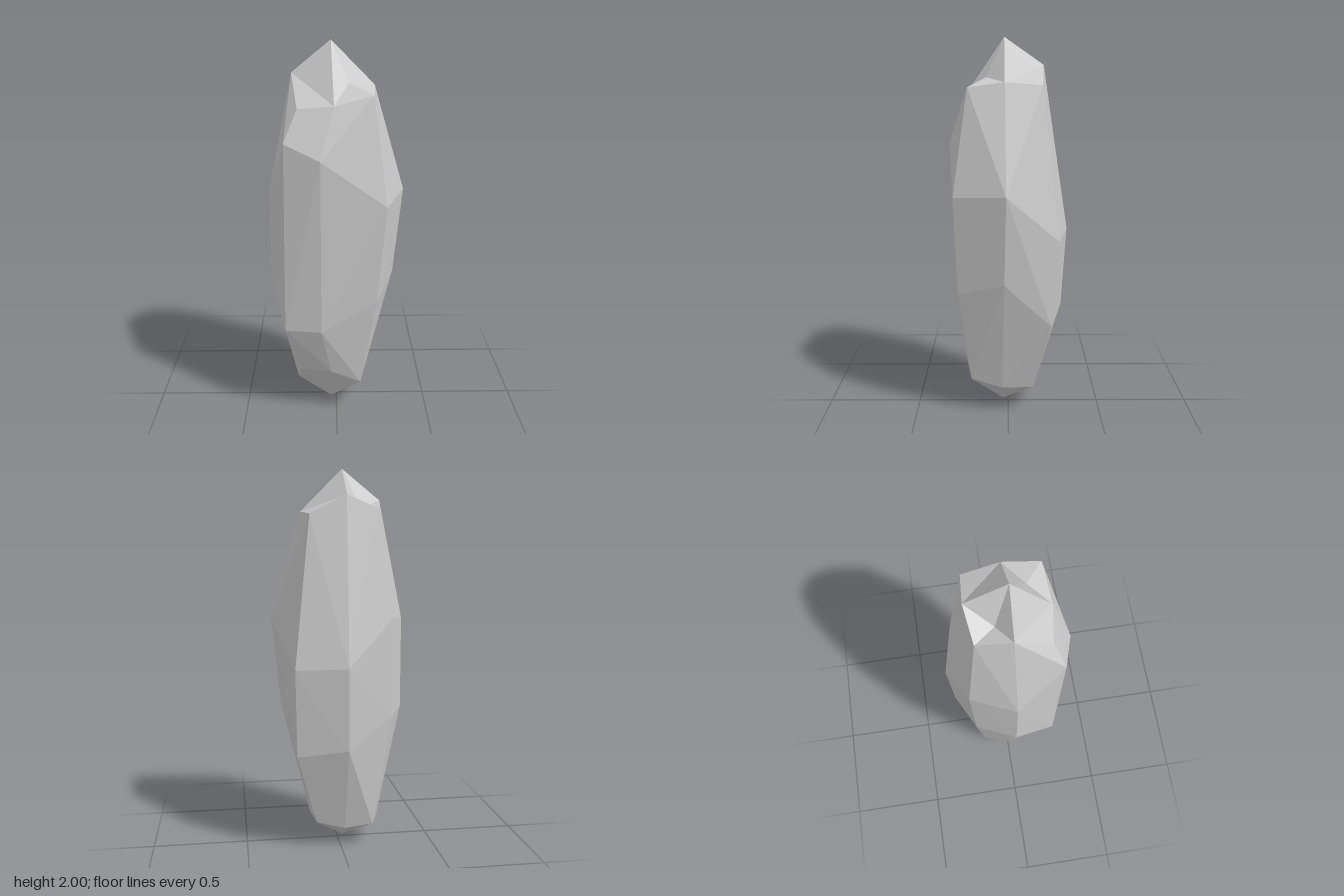
import * as THREE from 'three';

// Cross-sections, bottom to top. Each runs counter-clockwise seen from above:
// front, front-left, left, back-left, back, back-right, right, front-right.
const RINGS = [
  [[-0.03, 0.265, 0.22], [0.13, 0.19, 0.2], [0.15, 0.145, 0.03], [0.13, 0.14, -0.135],
    [-0.02, 0.105, -0.15], [-0.17, 0.12, -0.145], [-0.215, 0.105, -0.01], [-0.193, 0.255, 0.17]],
  [[-0.08, 0.535, 0.29], [0.21, 0.7, 0.26], [0.305, 0.775, 0.02], [0.24, 0.53, -0.225],
    [-0.02, 0.57, -0.29], [-0.26, 0.72, -0.19], [-0.353, 0.73, 0.02], [-0.27, 0.53, 0.25]],
  [[-0.08, 1.455, 0.313], [0.25, 1.215, 0.278], [0.352, 1.235, 0.01], [0.25, 0.99, -0.26],
    [-0.015, 1.0, -0.315], [-0.255, 1.24, -0.21], [-0.353, 1.22, 0.02], [-0.26, 1.53, 0.255]],
  [[-0.013, 1.705, 0.223], [0.182, 1.755, 0.203], [0.193, 1.78, 0.017], [0.165, 1.765, -0.172],
    [-0.022, 1.86, -0.183], [-0.193, 1.79, -0.157], [-0.225, 1.84, 0.013], [-0.193, 1.69, 0.197]],
].map(ring => ring.map(p => new THREE.Vector3(...p)));
const TIP = new THREE.Vector3(-0.027, 2, 0.02);
const FOOT = new THREE.Vector3(-0.03, 0, 0.03);
// chipped hollows in the crown, keyed by the corner they sit next to
const CHIPS = { 1: new THREE.Vector3(0.06, 1.8, 0.112), 5: new THREE.Vector3(-0.118, 1.79, -0.056) };

// Two triangles, split along the diagonal that bulges outward
function quad(out, a, b, c, d) {
  const n = b.clone().sub(a).cross(c.clone().sub(a));
  if (n.dot(d.clone().sub(a)) <= 0) out.push(a, b, c, a, c, d);
  else out.push(a, b, d, b, c, d);
}

function facetMesh(name, points) {
  const geometry = new THREE.BufferGeometry().setFromPoints(points);
  geometry.computeVertexNormals();
  const mesh = new THREE.Mesh(geometry, new THREE.MeshStandardMaterial({ color: 0xcccccc, flatShading: true }));
  mesh.name = name;
  return mesh;
}

export function createModel() {
  const group = new THREE.Group();
  group.name = 'crystal';

  // Faceted shaft between neighbouring cross-sections
  const shaft = [];
  for (let r = 0; r < RINGS.length - 1; r++) {
    const lo = RINGS[r], hi = RINGS[r + 1];
    for (let i = 0; i < 8; i++) {
      const j = (i + 1) % 8;
      quad(shaft, lo[i], lo[j], hi[j], hi[i]);
    }
  }

  // Pointed crown and base: four kite facets each
  const crown = [], base = [];
  const top = RINGS[3], bottom = RINGS[0];
  for (let i = 0; i < 8; i += 2) {
    const j = i + 1, k = (i + 2) % 8;
    const chip = CHIPS[j];
    if (chip) {
      const rim = [TIP, top[i], top[j], top[k]];
      rim.forEach((p, s) => crown.push(chip, p, rim[(s + 1) % 4]));
    } else {
      crown.push(TIP, top[i], top[k], top[i], top[j], top[k]);
    }
    quad(base, FOOT, bottom[k], bottom[j], bottom[i]);
  }

  group.add(facetMesh('shaft', shaft), facetMesh('crown', crown), facetMesh('base', base));
  return group;
}
